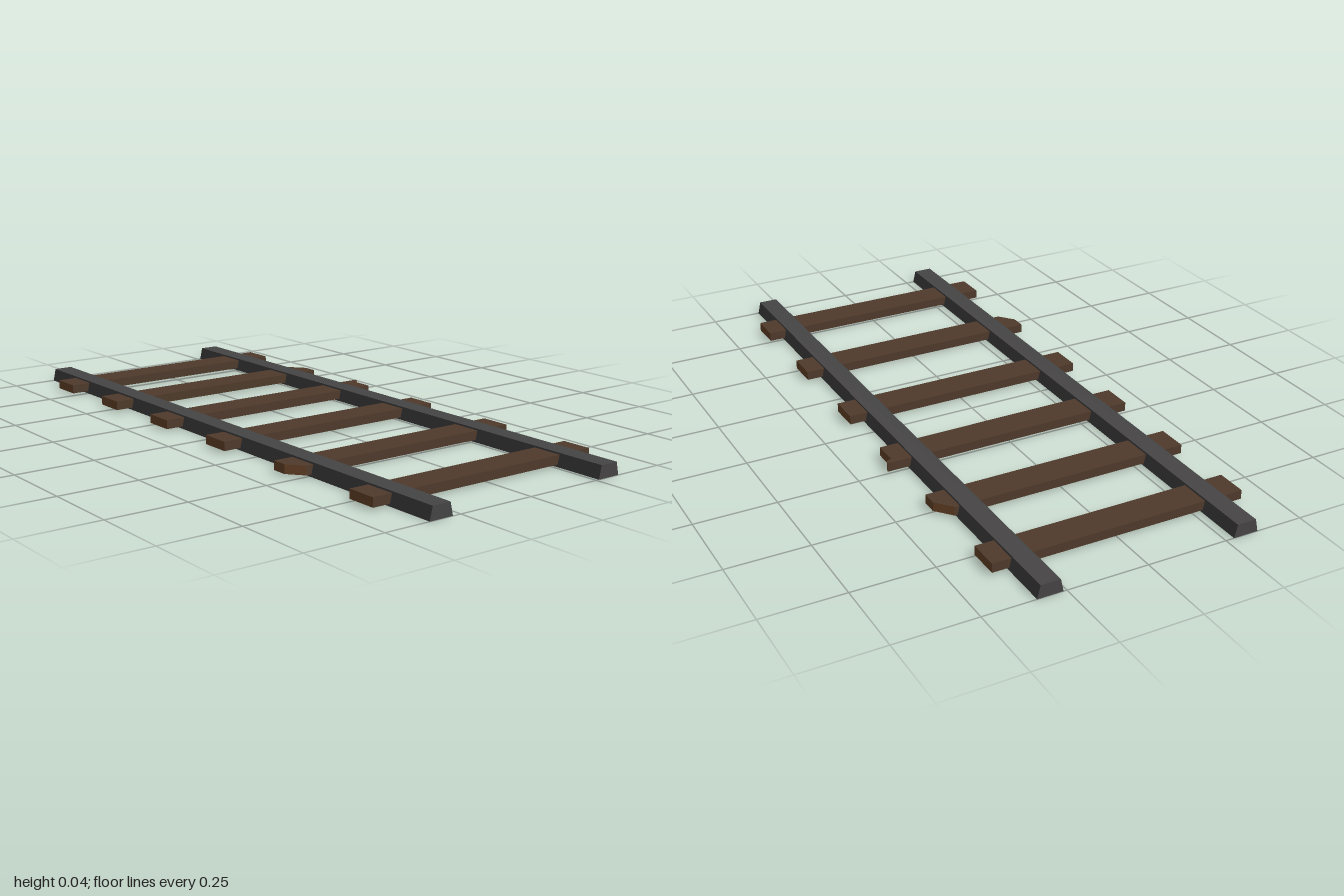
import * as THREE from 'three';

const material = (name, color) => new THREE.MeshStandardMaterial({ name, color });

export function createModel() {
  const steel = material('dark steel', 0x474546);
  const wood = material('dark wood', 0x4f3b2b);
  const cutWood = material('cut wood', 0x70492b);
  const track = new THREE.Group();
  track.name = 'railTrack';

  // Rails: trapezoid section, wider at the foot
  const addRail = (name, x) => {
    const section = new THREE.Shape([
      [-0.039, 0], [0.039, 0], [0.03, 0.04], [-0.03, 0.04],
    ].map(([px, py]) => new THREE.Vector2(px, py)));
    const geometry = new THREE.ExtrudeGeometry(section, { depth: 2, bevelEnabled: false });
    const rail = new THREE.Mesh(geometry, steel);
    rail.name = name;
    rail.position.set(x, 0, -1);
    track.add(rail);
  };
  addRail('leftRail', 0.299);
  addRail('rightRail', -0.316);

  // Ties: outline seen from above, with end grain on faces turned to the sides
  const L = -0.41, R = 0.388, H = 0.0485;
  const plain = [[L, -H], [L, H], [R, H], [R, -H]];
  const chippedLeft = [[L, -H], [L, 0], [-0.37, H], [R, H], [R, -H]];
  const chippedRight = [[L, -H], [L, H], [R, H], [R, 0.002], [0.345, -H]];
  const splintered = [[L, -H], [L, H], [R, H], [R, -0.028], [0.404, -0.034], [0.408, -H]];

  const addTie = (name, z, outline) => {
    const shape = new THREE.Shape(outline.map(([px, pz]) => new THREE.Vector2(px, -pz)));
    const geometry = new THREE.ExtrudeGeometry(shape, { depth: 0.028, bevelEnabled: false });
    geometry.rotateX(-Math.PI / 2);
    geometry.clearGroups();
    const normal = geometry.attributes.normal;
    for (let i = 0; i < normal.count; i += 3) {
      geometry.addGroup(i, 3, Math.abs(normal.getX(i)) > 0.3 ? 1 : 0);
    }
    const tie = new THREE.Mesh(geometry, [wood, cutWood]);
    tie.name = name;
    tie.position.set(0, 0.007, z);
    track.add(tie);
  };
  [
    [-0.802, plain], [-0.507, chippedRight], [-0.202, splintered],
    [0.114, plain], [0.459, chippedLeft], [0.795, plain],
  ].forEach(([z, outline], i) => addTie(`tie${i + 1}`, z, outline));

  return track;
}
